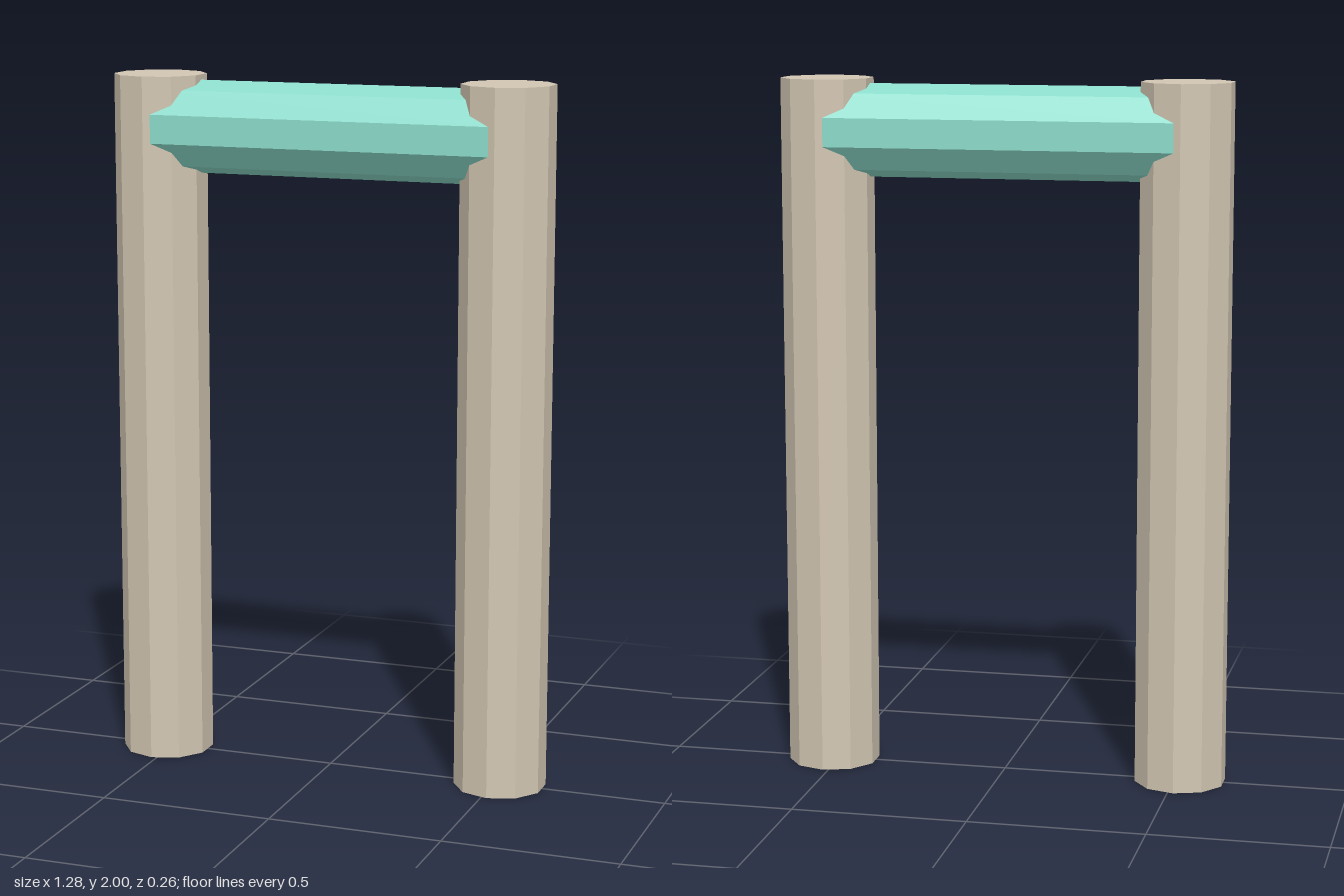
import * as THREE from 'three';

export function createModel() {
  const group = new THREE.Group();
  const postMaterial = new THREE.MeshStandardMaterial({ color: 0xd2c6b2, flatShading: true });
  postMaterial.name = 'pale stone';
  const beamMaterial = new THREE.MeshStandardMaterial({ color: 0x8cdccb, flatShading: true });
  beamMaterial.name = 'mint green';

  const radius = 0.132, sides = 10, postX = 0.516;

  // Two ten-sided uprights
  const postGeometry = new THREE.CylinderGeometry(radius, radius, 2, sides);
  for (const side of [-1, 1]) {
    const post = new THREE.Mesh(postGeometry, postMaterial);
    post.name = side > 0 ? 'leftPost' : 'rightPost';
    post.position.set(side * postX, 1, 0);
    group.add(post);
  }

  // Crossbar of the same section, an edge on top, ending inside the posts
  const beamGeometry = new THREE.CylinderGeometry(radius, radius, postX * 2, sides, 1, false, Math.PI / 2);
  beamGeometry.rotateZ(Math.PI / 2);
  const beam = new THREE.Mesh(beamGeometry, beamMaterial);
  beam.name = 'crossbar';
  beam.position.y = 1.853;
  group.add(beam);

  return group;
}
